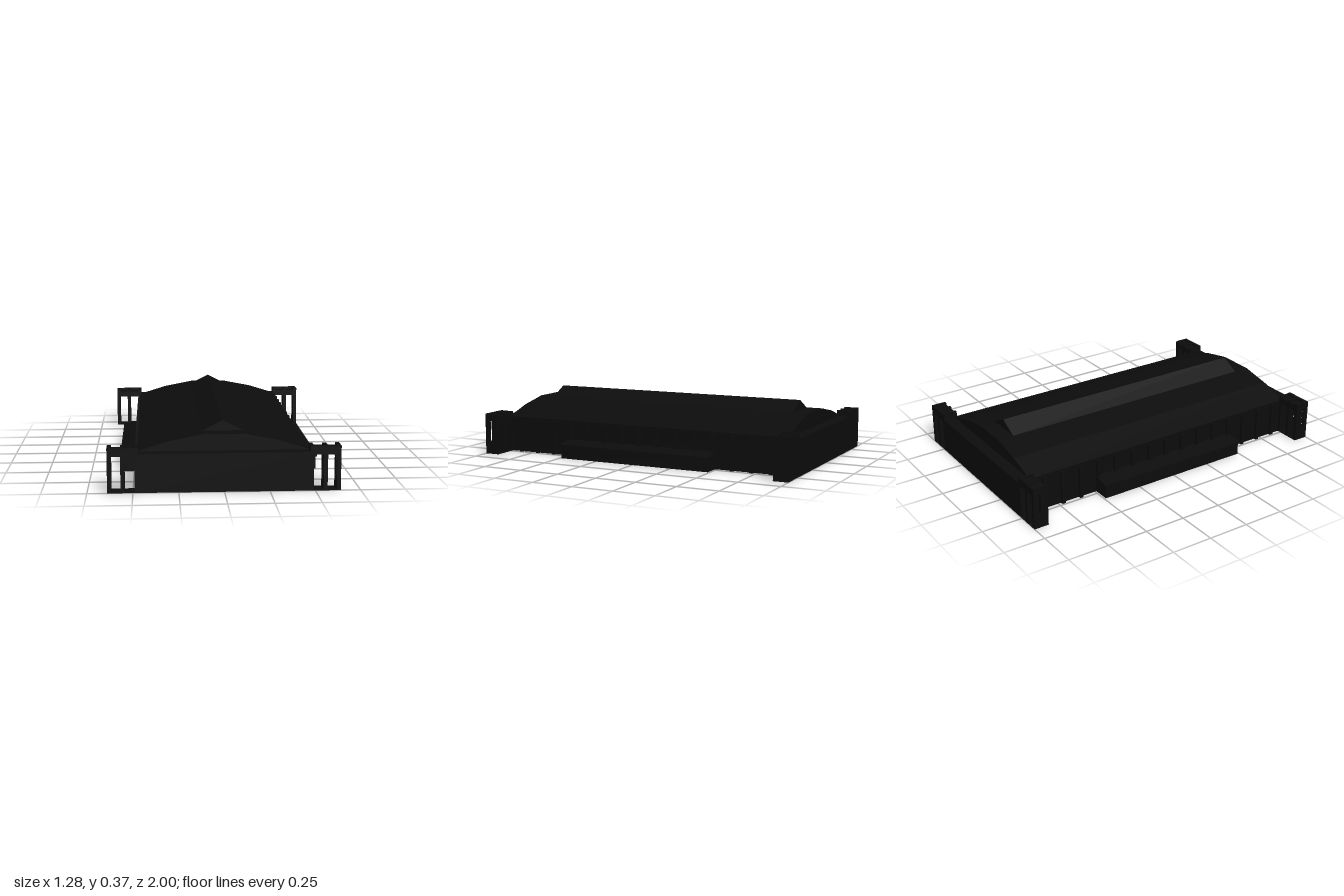
import * as THREE from 'three';

export function createModel() {
  const model = new THREE.Group();
  model.name = 'hall';
  const black = new THREE.MeshStandardMaterial({ color: 0x0c0c0c });
  black.name = 'black';

  const add = (name, geometry, parent = model) => {
    const mesh = new THREE.Mesh(geometry, black);
    mesh.name = name;
    parent.add(mesh);
    return mesh;
  };
  // Box given by its limits on each axis
  const box = (name, x0, x1, y0, y1, z0, z1, parent) =>
    add(name, new THREE.BoxGeometry(x1 - x0, y1 - y0, z1 - z0)
      .translate((x0 + x1) / 2, (y0 + y1) / 2, (z0 + z1) / 2), parent);
  // Front outline swept along z
  const sweep = (name, points, z0, z1, parent) => {
    const shape = new THREE.Shape(points.map(([x, y]) => new THREE.Vector2(x, y)));
    return add(name, new THREE.ExtrudeGeometry(shape, { depth: z1 - z0, bevelEnabled: false })
      .translate(0, 0, z0), parent);
  };
  const mirrored = (half) => [...half, ...half.filter(([x]) => x > 0).reverse().map(([x, y]) => [-x, y])];
  const shell = (half, t) => {
    const outer = mirrored(half);
    return [...outer, ...outer.map(([x, y]) => [x, y - t]).reverse()];
  };

  // Faceted vaulted roof and raised ridge skylight
  const vault = [[-0.475, 0.218], [-0.3, 0.272], [-0.115, 0.308]];
  const vaultHalf = vault.map(([x, y]) => [-x, y]);
  const ridgeHalf = [[0.115, 0.308], [0, 0.367]];
  const closed = (half) => {
    const right = half.filter(([x]) => x > 0);
    return [...half, ...right.slice().reverse().map(([x, y]) => [-x, y])];
  };
  sweep('vaultedRoof', shell(vaultHalf, 0.012), -0.93, 0.93);
  sweep('ridgeSkylight', closed(ridgeHalf), -0.83, 0.83);

  // Long walls, pilasters and low side annexes
  for (const s of [-1, 1]) {
    const side = new THREE.Group();
    side.name = s > 0 ? 'leftSide' : 'rightSide';
    model.add(side);
    const sideBox = (name, a, b, ...rest) => box(name, Math.min(s * a, s * b), Math.max(s * a, s * b), ...rest, side);
    sideBox('longWall', 0.46, 0.475, 0, 0.218, -0.98, 0.98);
    for (let k = -7; k <= 7; k++) {
      sideBox('pilaster', 0.45, 0.492, 0, 0.205, k * 0.12 - 0.011, k * 0.12 + 0.011);
    }
    sideBox('annexWall', 0.565, 0.576, 0, 0.085, -0.49, 0.49);
    sweep('annexRoof', [[0.475, 0.103], [0.475, 0.09], [0.583, 0.074], [0.583, 0.086]]
      .map(([x, y]) => [s * x, y]), -0.495, 0.495, side);
    for (const z of [-1, 1]) {
      sweep('annexEnd', [[0.475, 0], [0.576, 0], [0.576, 0.08], [0.475, 0.095]]
        .map(([x, y]) => [s * x, y]), z * 0.485 - 0.005, z * 0.485 + 0.005, side);
    }
  }

  // Both ends: gable, entrance wall and corner pavilions
  for (const e of [1, -1]) {
    const end = new THREE.Group();
    end.name = e > 0 ? 'frontEnd' : 'backEnd';
    if (e < 0) end.rotation.y = Math.PI;
    model.add(end);
    sweep('gable', closed([[0.475, 0.2], ...vaultHalf]), 0.918, 0.929, end);
    sweep('skylightEnd', closed(ridgeHalf), 0.829, 0.831, end);
    box('entranceWall', -0.49, 0.49, 0, 0.215, 0.978, 1, end);
    box('porchRoof', -0.475, 0.475, 0.203, 0.216, 0.91, 1, end);
    for (const s of [-1, 1]) {
      const pavilion = new THREE.Group();
      pavilion.name = 'cornerPavilion';
      end.add(pavilion);
      const part = (name, a, b, ...rest) => box(name, Math.min(s * a, s * b), Math.max(s * a, s * b), ...rest, pavilion);
      part('pavilionRoof', 0.47, 0.64, 0.21, 0.238, 0.91, 1);
      part('frontBeam', 0.47, 0.64, 0.202, 0.25, 0.978, 1);
      part('backBeam', 0.47, 0.64, 0.202, 0.238, 0.91, 0.932);
      part('threshold', 0.475, 0.64, 0, 0.004, 0.91, 1);
      // Slotted side walls, each with a parapet block above
      for (const [a, b] of [[0.474, 0.49], [0.545, 0.567], [0.618, 0.64]]) {
        part('wallBase', a, b, 0, 0.075, 0.91, 1);
        part('backPost', a, b, 0.075, 0.21, 0.91, 0.955);
        part('frontPost', a, b, 0.075, 0.21, 0.977, 1);
        part('parapetBlock', a, b, 0.238, 0.25, 0.91, 0.978);
      }
    }
  }
  return model;
}
